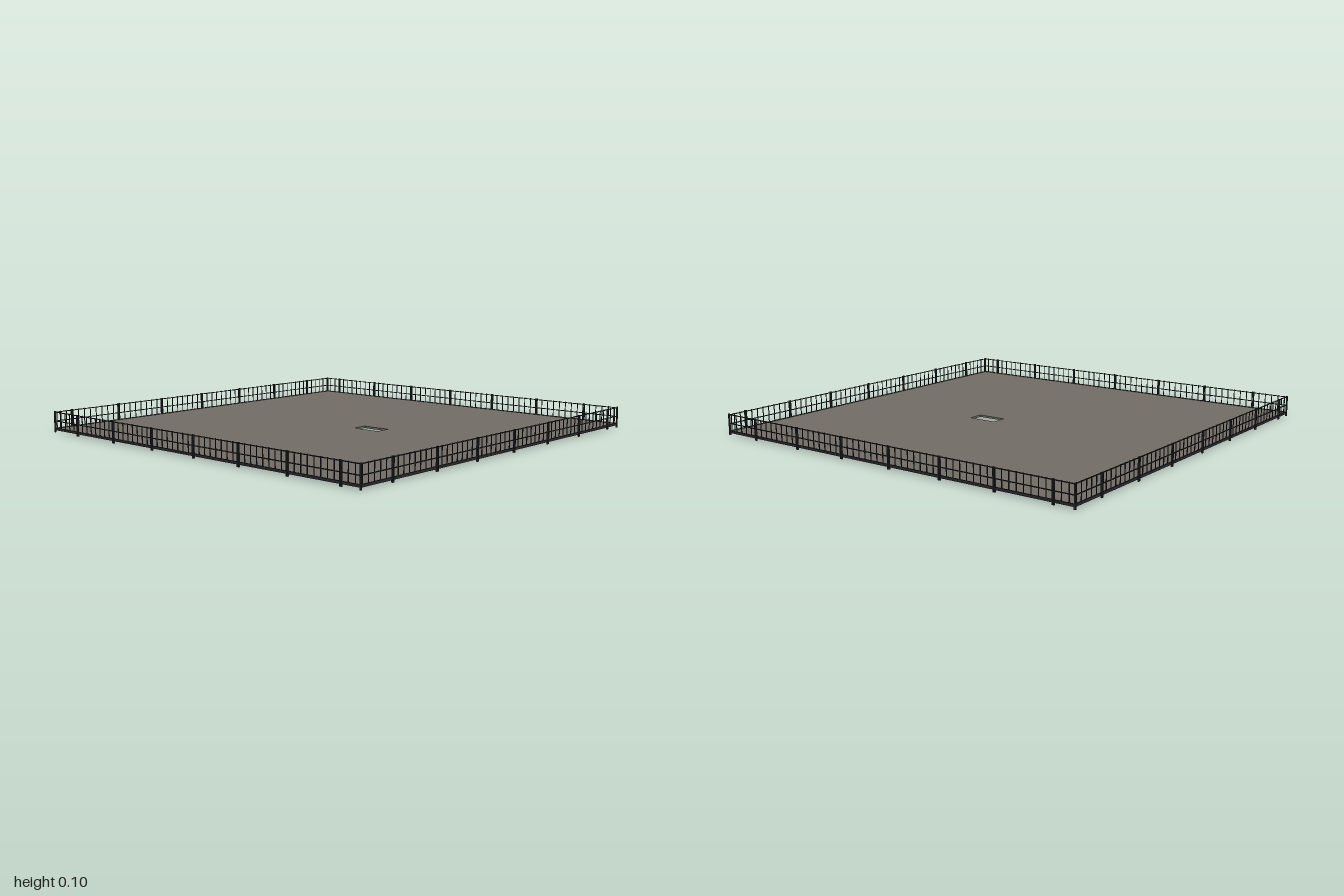
import * as THREE from 'three';
import { mergeGeometries } from 'three/addons/utils/BufferGeometryUtils.js';

const EDGE = 0.992;   // half width of the deck
const PANEL = 0.284;  // distance between railing posts
const FIRST = -0.807; // first intermediate post
const BARS = 8;       // baluster spaces in each panel

function box(w, h, d, x, y, z) {
  return new THREE.BoxGeometry(w, h, d).translate(x, y, z);
}

export function createModel() {
  const model = new THREE.Group();
  model.name = 'railedPlatform';

  const deckMaterial = new THREE.MeshStandardMaterial({ color: 0x736d66 });
  deckMaterial.name = 'warm grey deck';
  const steelMaterial = new THREE.MeshStandardMaterial({ color: 0x27292c });
  steelMaterial.name = 'dark steel';

  const add = (parent, name, geometry, material) => {
    const mesh = new THREE.Mesh(geometry, material);
    mesh.name = name;
    parent.add(mesh);
  };

  // Deck slab with a rectangular hatch opening (shape y becomes -z)
  const outline = new THREE.Shape([
    new THREE.Vector2(-EDGE, -EDGE), new THREE.Vector2(EDGE, -EDGE),
    new THREE.Vector2(EDGE, EDGE), new THREE.Vector2(-EDGE, EDGE),
  ]);
  outline.holes.push(new THREE.Path([
    new THREE.Vector2(0.095, 0), new THREE.Vector2(0.095, 0.08),
    new THREE.Vector2(0.245, 0.08), new THREE.Vector2(0.245, 0),
  ]));
  const deck = new THREE.ExtrudeGeometry(outline, { depth: 0.01, bevelEnabled: false });
  deck.rotateX(-Math.PI / 2).translate(0, 0.009, 0);
  add(model, 'deck', deck, deckMaterial);

  // One run of railing along the +z edge
  const posts = [];
  const balusters = [];
  for (let x = FIRST; x < EDGE; x += PANEL) {
    for (const side of [-1, 1]) {
      posts.push(box(0.004, 0.105, 0.007, x + side * 0.004, 0.0525, 0.9965));
    }
  }
  posts.push(box(0.007, 0.105, 0.007, -0.9965, 0.0525, 0.9965));

  const pitch = PANEL / BARS;
  for (let i = -5; FIRST + i * pitch < 0.985; i++) {
    if (i % BARS === 0) continue; // a post stands here
    balusters.push(box(0.0035, 0.088, 0.0035, FIRST + i * pitch, 0.06, 0.9935));
  }

  const rails = [0.1, 0.056].map((y) => box(1.99, 0.004, 0.004, 0, y, 0.9935));
  const toeBoard = box(1.99, 0.012, 0.006, 0, 0.016, 0.994);

  const postGeometry = mergeGeometries(posts);
  const balusterGeometry = mergeGeometries(balusters);
  const railGeometry = mergeGeometries(rails);

  // The same run turned around all four edges
  ['front', 'left', 'back', 'right'].forEach((name, k) => {
    const railing = new THREE.Group();
    railing.name = `${name}Railing`;
    railing.rotation.y = k * Math.PI / 2;
    add(railing, 'posts', postGeometry, steelMaterial);
    add(railing, 'balusters', balusterGeometry, steelMaterial);
    add(railing, 'rails', railGeometry, steelMaterial);
    add(railing, 'toeBoard', toeBoard, steelMaterial);
    model.add(railing);
  });

  return model;
}
